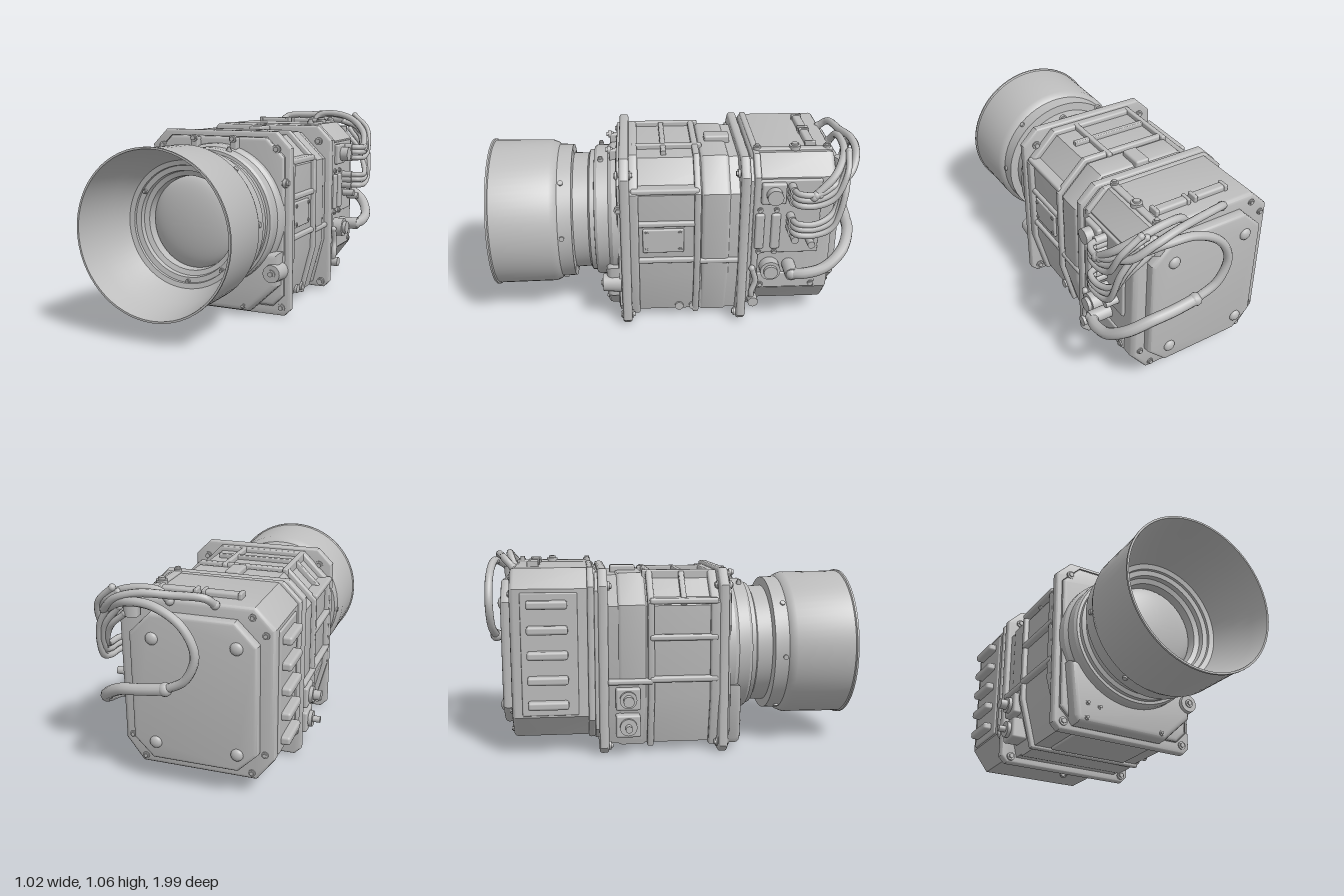
import * as THREE from 'three';
import { toCreasedNormals } from 'three/addons/utils/BufferGeometryUtils.js';
import { RoundedBoxGeometry } from 'three/addons/geometries/RoundedBoxGeometry.js';

const CX = -0.03, CY = 0.532; // optical axis

export function createModel() {
  const model = new THREE.Group();
  const grey = new THREE.MeshStandardMaterial({ color: 0xbcbcbc, side: THREE.DoubleSide });
  grey.name = 'paintedGrey';

  function add(name, geo, x = 0, y = 0, z = 0) {
    const m = new THREE.Mesh(geo, grey);
    m.name = name;
    m.position.set(x, y, z);
    model.add(m);
    return m;
  }
  const outline = (pts, Type = THREE.Shape) => new Type(pts.map(p => new THREE.Vector2(...p)));
  // rectangle with cut corners: top cut t, bottom cut bx wide and by high
  const octagon = (x0, x1, y0, y1, t, bx, by, Type) => outline([[x0 + bx, y0], [x1 - bx, y0], [x1, y0 + by],
    [x1, y1 - t], [x1 - t, y1], [x0 + t, y1], [x0, y1 - t], [x0, y0 + by]], Type);
  function extrude(name, shape, z0, z1, bevel) {
    const g = new THREE.ExtrudeGeometry(shape, { depth: z1 - z0 - 2 * bevel, bevelEnabled: true,
      bevelSize: bevel, bevelThickness: bevel, bevelOffset: -bevel, bevelSegments: 3 });
    return add(name, toCreasedNormals(g, 0.6), 0, 0, z0 + bevel);
  }
  const slab = (name, x0, x1, y0, y1, t, bx, by, z0, z1, bevel) =>
    extrude(name, octagon(x0, x1, y0, y1, t, bx, by), z0, z1, bevel);
  function box(name, x0, x1, y0, y1, z0, z1, r = 0.008) {
    return add(name, new RoundedBoxGeometry(x1 - x0, y1 - y0, z1 - z0, 2, r),
      (x0 + x1) / 2, (y0 + y1) / 2, (z0 + z1) / 2);
  }
  // cylinder centred on a point, along a given axis
  function rod(name, axis, x, y, z, r, len, sides = 20, r2 = r) {
    const g = new THREE.CylinderGeometry(r2, r, len, sides);
    if (axis === 'x') g.rotateZ(-Math.PI / 2);
    if (axis === 'z') g.rotateX(Math.PI / 2);
    return add(name, g, x, y, z);
  }
  function bolt(axis, x, y, z, r = 0.018, h = 0.03) {
    rod('boltWasher', axis, x, y, z, r * 1.25, h * 0.6);
    rod('boltHead', axis, x, y, z, r * 0.8, h * 1.3, 6);
  }
  function turned(name, pts) {
    const g = new THREE.LatheGeometry(pts.map(p => new THREE.Vector2(p[0], p[1])), 64);
    return add(name, toCreasedNormals(g.rotateX(Math.PI / 2), 0.5), CX, CY, 0);
  }
  function cable(name, r, pts) {
    const c = new THREE.CatmullRomCurve3(pts.map(p => new THREE.Vector3(...p)));
    add(name, new THREE.TubeGeometry(c, 48, r, 10));
    for (const p of [pts[0], pts[pts.length - 1]]) add('cableEnd', new THREE.SphereGeometry(r * 1.15, 12, 8), ...p);
  }

  // lens hood, neck and glass
  turned('lensHood', [[0.33, 0.55], [0.375, 0.555], [0.378, 0.63], [0.39, 0.64], [0.403, 0.67], [0.407, 0.985],
    [0.414, 0.99], [0.414, 1], [0.404, 1], [0.39, 0.9], [0.368, 0.79], [0.325, 0.675], [0.3, 0.668], [0.298, 0.655],
    [0.272, 0.65], [0.268, 0.625], [0.243, 0.615], [0.238, 0.58], [0.238, 0.53]]);
  turned('lensNeck', [[0.345, 0.28], [0.345, 0.46], [0.325, 0.47], [0.328, 0.55], [0.345, 0.555]]);
  turned('neckCollar', [[0.39, 0.27], [0.385, 0.34], [0.37, 0.36], [0.37, 0.42], [0.36, 0.435], [0.32, 0.44]]);
  const dome = [];
  for (let i = 0; i <= 12; i++) dome.push([0.24 * Math.cos(i * Math.PI / 24), 0.56 + 0.065 * Math.sin(i * Math.PI / 24)]);
  dome[12][0] = 0;
  turned('frontGlass', dome);
  for (const a of [0.05, 0.85, 2.4, 3.2, 4.2, 5.4]) {
    const s = rod('hoodScrew', 'x', CX + 0.376 * Math.cos(a), CY + 0.376 * Math.sin(a), 0.61, 0.014, 0.02, 12);
    s.rotation.z = a;
  }
  for (const [x, y] of [[-0.27, 0.685], [0.165, 0.315], [-0.025, 0.24]]) bolt('z', x, y, 0.658, 0.01, 0.02);

  // front skirt under the neck
  extrude('frontSkirt', outline([[-0.34, 0.03], [0.18, 0.03], [0.34, 0.18], [0.35, 0.36], [-0.39, 0.36], [-0.36, 0.06]]),
    0.28, 0.38, 0.03);
  for (const [x, y] of [[-0.29, 0.14], [-0.22, 0.13], [-0.295, 0.06], [0.15, 0.06]]) bolt('z', x, y, 0.378, 0.011, 0.02);
  rod('sideLug', 'z', 0.32, 0.255, 0.35, 0.055, 0.1, 24, 0.047);
  bolt('z', 0.32, 0.255, 0.4, 0.018, 0.02);
  for (const x of [-0.15, 0.08]) { // collar brackets
    box('collarBracket', x - 0.02, x + 0.02, 0.88, 0.95, 0.29, 0.35);
    bolt('z', x, 0.945, 0.35, 0.016);
    bolt('y', x, 0.887, 0.4, 0.012, 0.03);
  }

  // front and rear mounting plates
  slab('frontPlate', -0.44, 0.385, 0.005, 0.985, 0.085, 0.035, 0.035, 0.245, 0.297, 0.014);
  slab('frontPlateStep', -0.41, 0.355, 0.06, 0.955, 0.1, 0.06, 0.06, 0.29, 0.315, 0.02);
  slab('rearPlate', -0.44, 0.385, 0.015, 0.985, 0.085, 0.035, 0.035, -0.385, -0.335, 0.014);
  slab('rearGasket', -0.425, 0.37, 0.09, 0.965, 0.09, 0.06, 0.06, -0.405, -0.38, 0.005);
  slab('rearSealRim', -0.435, 0.375, 0.09, 0.992, 0.095, 0.09, 0.11, -0.44, -0.405, 0.01);
  for (const [x, y] of [[-0.365, 0.895], [0.31, 0.895], [-0.385, 0.05], [0.335, 0.05]]) {
    bolt('z', x, y, y > 0.5 ? 0.312 : 0.297, 0.018, 0.02);
    bolt('z', x, y, -0.33, 0.018, 0.025);
    bolt('z', x, y, 0.245, 0.018, 0.025);
  }

  // ribbed middle housing with steep lower walls
  slab('middleHousing', -0.415, 0.352, 0.05, 0.945, 0.15, 0.065, 0.26, -0.34, 0.25, 0.01);
  slab('housingRearBay', -0.422, 0.362, 0.04, 0.955, 0.155, 0.075, 0.28, -0.29, -0.13, 0.025);
  function ringRib(z0, z1) {
    const s = octagon(-0.44, 0.375, 0.035, 0.97, 0.16, 0.07, 0.27);
    s.holes.push(octagon(-0.39, 0.325, 0.08, 0.91, 0.14, 0.06, 0.25, THREE.Path));
    extrude('ringRib', s, z0, z1, 0.01);
  }
  ringRib(-0.13, -0.095);
  ringRib(0.2, 0.25);
  for (const x of [-0.27, 0.07]) box('topRib', x - 0.014, x + 0.014, 0.92, 0.972, -0.15, 0.23);
  extrude('topCrossRib', outline([[-0.438, 0.81], [-0.28, 0.968], [0.17, 0.968], [0.17, 0.92], [-0.26, 0.92], [-0.395, 0.78]]),
    0.045, 0.075, 0.006);
  for (const [x0, x1] of [[-0.445, -0.36], [0.3, 0.37]]) {
    for (const y of [0.82, 0.63, 0.41]) box('sideRib', x0, x1, y - 0.016, y + 0.016, -0.12, 0.24, 0.012);
    box('sideRibRear', x0, x1, 0.385, 0.415, -0.34, -0.1, 0.012);
  }
  box('topSmallBox', -0.07, 0.01, 0.93, 0.985, -0.31, -0.17, 0.012);
  box('bottomPanel', -0.26, 0.2, 0.035, 0.06, -0.08, 0.18);
  // access plate on the left side
  box('accessPlate', 0.34, 0.366, 0.46, 0.6, -0.04, 0.18);
  for (const y of [0.48, 0.58]) for (const z of [-0.02, 0.16]) bolt('x', 0.366, y, z, 0.009, 0.01);
  for (const z of [-0.02, -0.1]) rod('lowerPlug', 'x', 0.285, 0.075, z, 0.024, 0.05);
  bolt('x', 0.36, 0.72, 0.305, 0.018, 0.03);
  // valves on the right side
  for (const [y, r] of [[0.31, 0.028], [0.165, 0.018]]) {
    box('valveBase', -0.45, -0.36, y - 0.06, y + 0.06, -0.3, -0.17, 0.012);
    rod('valveCollar', 'x', -0.455, y, -0.235, 0.045, 0.03);
    rod('valveStem', 'x', -0.48, y, -0.235, r, 0.06);
  }

  // rear electronics box
  slab('rearBox', -0.42, 0.36, 0.1, 0.988, 0.1, 0.09, 0.12, -0.835, -0.39, 0.025);
  slab('backCover', -0.35, 0.29, 0.16, 0.925, 0.11, 0.1, 0.1, -0.885, -0.82, 0.02);
  for (const x of [-0.25, 0.17]) for (const y of [0.255, 0.8]) {
    const b = add('coverBolt', new THREE.SphereGeometry(0.032, 16, 8), x, y, -0.885);
    b.scale.z = 0.6;
  }
  for (const [x, y] of [[-0.375, 0.25], [-0.375, 0.86], [-0.31, 0.94], [0.25, 0.94], [0.315, 0.25], [0.25, 0.14], [-0.31, 0.14]])
    bolt('z', x, y, -0.836, 0.014, 0.016);
  for (let i = 0; i < 5; i++) { // cooling fins
    const y = 0.29 + i * 0.13;
    box('coolingFin', -0.475, -0.41, y - 0.022, y + 0.022, -0.75, -0.54, 0.014);
  }
  box('finPanel', -0.43, -0.41, 0.23, 0.87, -0.78, -0.49);
  // roof fittings
  for (const x of [-0.13, 0.09]) {
    box('roofHandle', x - 0.09, x + 0.09, 0.975, 1.015, -0.745, -0.695, 0.014);
    for (const s of [-1, 1]) box('handleFoot', x + s * 0.09 - 0.01, x + s * 0.09 + 0.01, 0.98, 1.018, -0.75, -0.69, 0.006);
  }
  box('roofStrip', 0.2, 0.24, 0.98, 1, -0.83, -0.42);
  bolt('y', 0.22, 1.0, -0.63, 0.024, 0.035);
  for (const z of [-0.43, -0.8]) bolt('y', 0.22, 1, z, 0.016, 0.03);
  for (const z of [-0.48, -0.62]) bolt('y', 0.1, 0.098, z, 0.018, 0.025);

  // connector panel on the left side
  box('connectorPanel', 0.35, 0.375, 0.45, 0.88, -0.76, -0.42);
  box('squareConnector', 0.36, 0.4, 0.75, 0.87, -0.57, -0.44, 0.012);
  rod('squareConnectorPort', 'x', 0.42, 0.81, -0.505, 0.042, 0.05);
  for (const z of [-0.44, -0.525]) {
    box('slotCover', 0.365, 0.39, 0.48, 0.69, z - 0.025, z + 0.025, 0.012);
    for (const y of [0.46, 0.71]) bolt('x', 0.378, y, z, 0.012, 0.016);
  }
  rod('roundConnector', 'x', 0.385, 0.36, -0.505, 0.055, 0.07);
  rod('roundConnectorCap', 'x', 0.41, 0.36, -0.505, 0.038, 0.06);
  box('lowerPlate', 0.35, 0.37, 0.225, 0.32, -0.76, -0.44);
  for (const z of [-0.74, -0.46]) bolt('x', 0.372, 0.25, z, 0.013, 0.016);
  cable('drainTube', 0.016, [[0.38, 0.16, -0.42], [0.39, 0.21, -0.41], [0.385, 0.28, -0.43], [0.385, 0.36, -0.41]]);
  rod('drainPlug', 'x', 0.385, 0.16, -0.42, 0.028, 0.06);

  // elbow plugs with their cables
  const plugs = [[0.845, -0.02], [0.815, 0.02], [0.78, 0.05], [0.675, -0.01], [0.645, 0.02], [0.61, 0.05]];
  plugs.forEach(([y, dx], i) => {
    rod('plugBody', 'x', 0.4, y, -0.6, 0.022, 0.07);
    const up = i < 3 ? 1.0 + dx * 0.6 : 0.92 + dx;
    cable('plugCable', 0.016, [[0.42, y, -0.6], [0.47, y, -0.62], [0.48, y, -0.71],
      [0.455 + dx * 0.4, y + 0.04, -0.8], [0.4 + dx, (y + up) / 2 + 0.04, -0.86], [0.31 + dx, up, -0.88]]);
  });
  for (const [y, z] of [[0.56, -0.62], [0.53, -0.71]]) rod('smallPlug', 'x', 0.4, y, z, 0.02, 0.09);

  // thick cable sweeping behind the box, then looping over the top
  rod('mainPlug', 'x', 0.41, 0.37, -0.61, 0.036, 0.13);
  cable('mainCable', 0.03, [[0.46, 0.37, -0.61], [0.48, 0.38, -0.67], [0.475, 0.41, -0.78],
    [0.42, 0.48, -0.88], [0.32, 0.54, -0.93], [0.2, 0.56, -0.945], [0.08, 0.58, -0.95]]);
  cable('loopCable', 0.022, [[0.08, 0.58, -0.95], [-0.03, 0.65, -0.965], [-0.08, 0.78, -0.97], [-0.02, 0.91, -0.97],
    [0.12, 0.99, -0.96], [0.27, 0.99, -0.94], [0.4, 0.92, -0.86], [0.47, 0.84, -0.72]]);
  cable('roofCable', 0.02, [[-0.13, 0.98, -0.83], [-0.1, 1.02, -0.87], [0.05, 1.03, -0.9], [0.2, 1.035, -0.93],
    [0.32, 1.0, -0.93], [0.41, 0.92, -0.88], [0.48, 0.84, -0.7]]);
  cable('roofCableShort', 0.02, [[0.09, 0.98, -0.84], [0.13, 1.03, -0.86], [0.22, 1.04, -0.87],
    [0.34, 1.01, -0.86], [0.44, 0.93, -0.8], [0.48, 0.83, -0.69]]);
  rod('cableClamp', 'y', 0.27, 0.93, -0.87, 0.04, 0.06, 6);
  return model;
}
